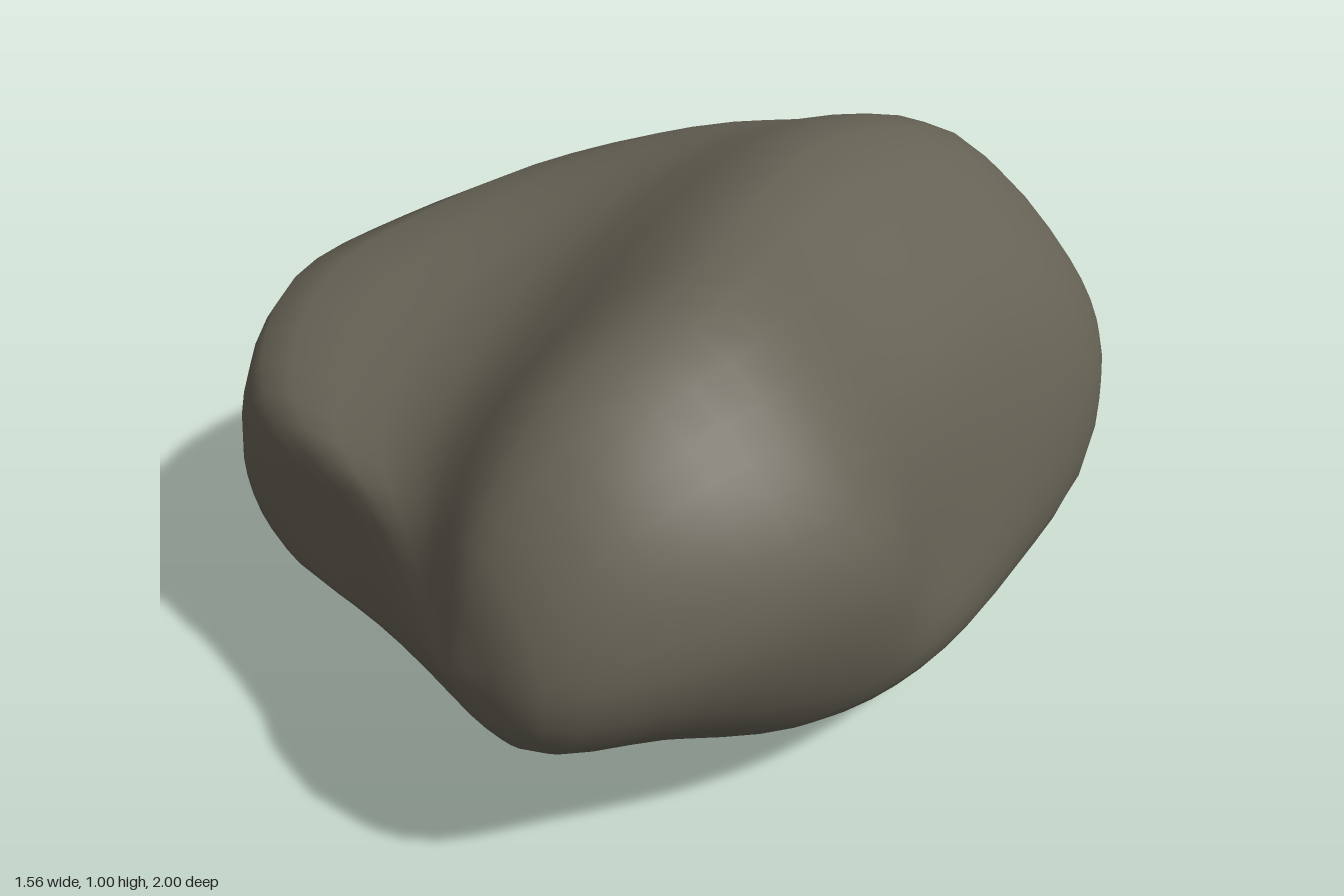
import * as THREE from 'three';

// Cross-sections from back to front: depth, and how far it shifts forward per unit of x
const depths = [[-0.93, 0], [-0.65, 0], [-0.25, 0], [0.15, 0], [0.47, 0], [0.76, 0], [0.87, 0.21]];

// Each runs counter-clockwise seen from the front: underside left/right, right foot,
// right flank, right shoulder, ridge, saddle, left shoulder, left flank, left foot.
const sections = [
  [[-.26, .18], [.2, .17], [.31, .23], [.35, .35], [.28, .45], [.1, .52], [-.14, .51], [-.34, .46], [-.42, .36], [-.37, .25]],
  [[-.42, .085], [.4, .075], [.53, .14], [.56, .38], [.45, .61], [.16, .82], [-.16, .76], [-.48, .63], [-.59, .38], [-.54, .17]],
  [[-.55, .035], [.52, .035], [.625, .13], [.63, .38], [.51, .71], [.15, .94], [-.23, .815], [-.66, .645], [-.765, .36], [-.72, .13]],
  [[-.57, .055], [.55, .055], [.685, .17], [.685, .38], [.59, .74], [.25, .968], [-.22, .745], [-.7, .655], [-.77, .35], [-.74, .15]],
  [[-.51, .125], [.5, .12], [.69, .25], [.78, .57], [.65, .81], [.37, .985], [-.12, .7], [-.67, .645], [-.75, .38], [-.69, .19]],
  [[-.24, .245], [.4, .24], [.6, .34], [.685, .54], [.58, .77], [.34, .88], [.01, .64], [-.42, .6], [-.51, .42], [-.45, .28]],
  [[.07, .33], [.37, .325], [.46, .37], [.5, .48], [.45, .61], [.32, .69], [.17, .59], [-.02, .53], [-.08, .42], [-.02, .35]],
];
const backTip = new THREE.Vector3(0.08, 0.36, -1);
const frontTip = new THREE.Vector3(0.31, 0.46, 1);
const AROUND = 40, ALONG = 32;

// Smooth skin through the sections, closed by one vertex at each end
function boulderGeometry() {
  const loops = sections.map((pts, i) => {
    const [z, tilt] = depths[i];
    return new THREE.CatmullRomCurve3(pts.map(([x, y]) => new THREE.Vector3(x, y, z + tilt * x)), true);
  });
  const columns = [];
  for (let j = 0; j < AROUND; j++) {
    const path = loops.map(loop => loop.getPoint(j / AROUND));
    columns.push(new THREE.CatmullRomCurve3([backTip, ...path, frontTip]));
  }

  const positions = [...backTip.toArray()];
  for (let i = 1; i < ALONG; i++) {
    for (const column of columns) positions.push(...column.getPoint(i / ALONG).toArray());
  }
  positions.push(...frontTip.toArray());

  const index = [];
  const last = positions.length / 3 - 1;
  const at = (i, j) => 1 + i * AROUND + (j % AROUND);
  for (let j = 0; j < AROUND; j++) {
    index.push(0, at(0, j + 1), at(0, j));
    for (let i = 0; i < ALONG - 2; i++) {
      const a = at(i, j), b = at(i, j + 1), c = at(i + 1, j + 1), d = at(i + 1, j);
      index.push(a, b, c, a, c, d);
    }
    index.push(last, at(ALONG - 2, j), at(ALONG - 2, j + 1));
  }

  const geometry = new THREE.BufferGeometry();
  geometry.setAttribute('position', new THREE.Float32BufferAttribute(positions, 3));
  geometry.setIndex(index);
  geometry.computeVertexNormals();
  return geometry;
}

export function createModel() {
  const stone = new THREE.MeshStandardMaterial({ color: 0x666255 });
  stone.name = 'stone';
  const boulder = new THREE.Mesh(boulderGeometry(), stone);
  boulder.name = 'boulder';
  const group = new THREE.Group();
  group.name = 'rock';
  group.add(boulder);
  return group;
}
